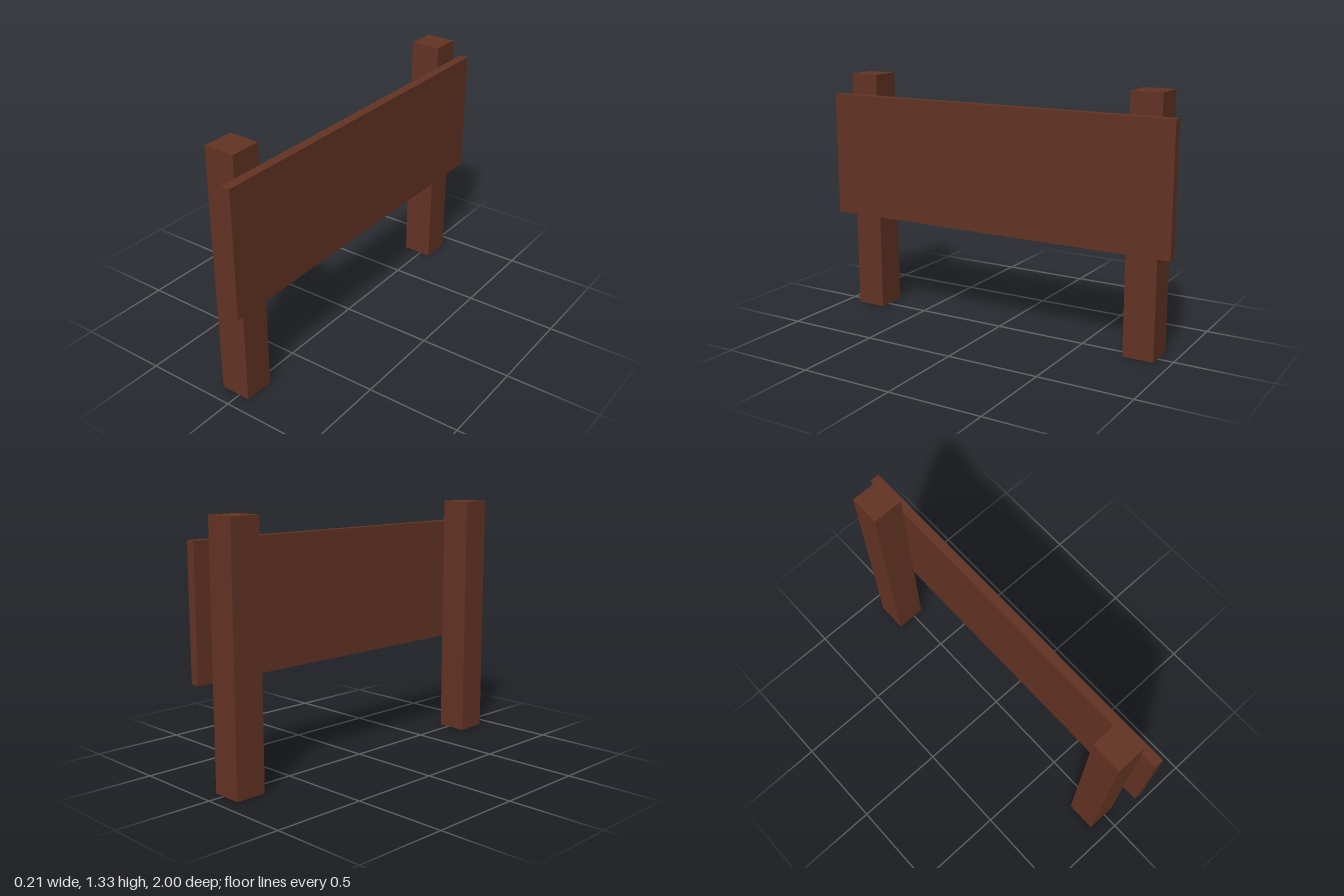
import * as THREE from 'three';

export function createModel() {
  const group = new THREE.Group();
  const wood = new THREE.MeshStandardMaterial({ color: 0x643424 });
  wood.name = 'brown wood';

  // Box given by its lower and upper corners
  const addBox = (name, [x0, y0, z0], [x1, y1, z1]) => {
    const mesh = new THREE.Mesh(new THREE.BoxGeometry(x1 - x0, y1 - y0, z1 - z0), wood);
    mesh.position.set((x0 + x1) / 2, (y0 + y1) / 2, (z0 + z1) / 2);
    mesh.name = name;
    group.add(mesh);
  };

  // Two square posts
  addBox('frontPost', [-0.107, 0, 0.75], [0.058, 1.333, 0.915]);
  addBox('backPost', [-0.107, 0, -0.915], [0.058, 1.333, -0.75]);

  // Board fixed to the side of the posts
  addBox('signBoard', [0.058, 0.545, -1], [0.107, 1.22, 1]);

  return group;
}
